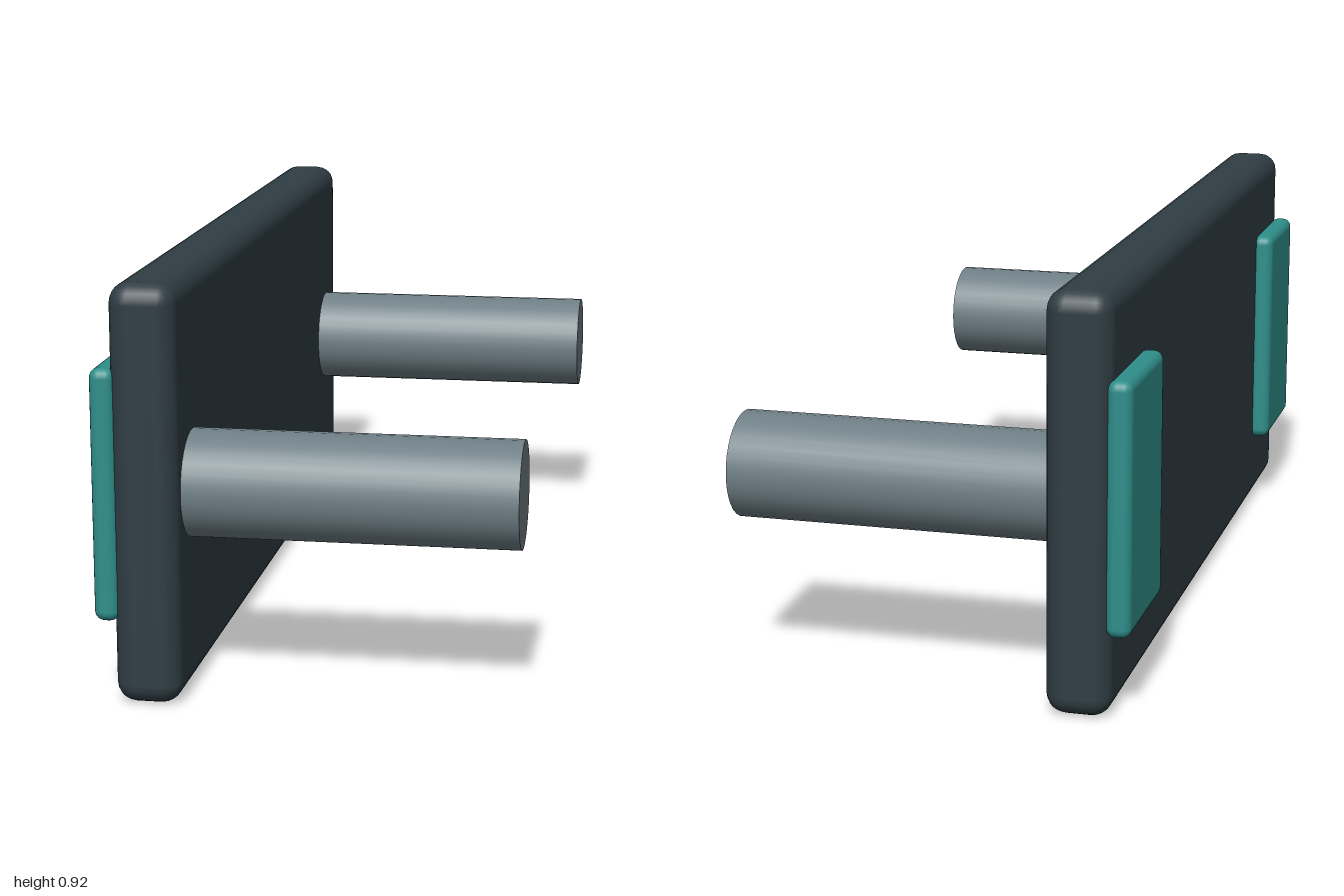
import * as THREE from 'three';
import { RoundedBoxGeometry } from 'three/addons/geometries/RoundedBoxGeometry.js';

export function createModel() {
  const plateColor = new THREE.MeshStandardMaterial({ name: 'dark slate', color: 0x2f3d44 });
  const pegColor = new THREE.MeshStandardMaterial({ name: 'steel grey', color: 0x6f7f86 });
  const padColor = new THREE.MeshStandardMaterial({ name: 'teal', color: 0x2f8f8b });

  const model = new THREE.Group();
  model.name = 'peggedPlate';
  const midY = 0.46;

  const add = (name, geometry, material, x, z) => {
    const mesh = new THREE.Mesh(geometry, material);
    mesh.name = name;
    mesh.position.set(x, midY, z);
    model.add(mesh);
  };

  // Upright plate with rounded edges
  add('plate', new RoundedBoxGeometry(0.144, 0.92, 2, 3, 0.045), plateColor, -0.34, 0);

  // Pegs lie along x, rooted inside the plate
  const pegStart = -0.32, pegEnd = 0.453;
  const pegGeometry = new THREE.CylinderGeometry(0.119, 0.119, pegEnd - pegStart, 32);
  pegGeometry.rotateZ(-Math.PI / 2);

  // Soft pads, partly sunk into the opposite face
  const padGeometry = new RoundedBoxGeometry(0.055, 0.555, 0.32, 3, 0.022);

  for (const [side, s] of [['front', 1], ['back', -1]]) {
    add(side + 'Peg', pegGeometry, pegColor, (pegStart + pegEnd) / 2, s * 0.833);
    add(side + 'Pad', padGeometry, padColor, -0.4275, s * 0.833);
  }
  return model;
}
